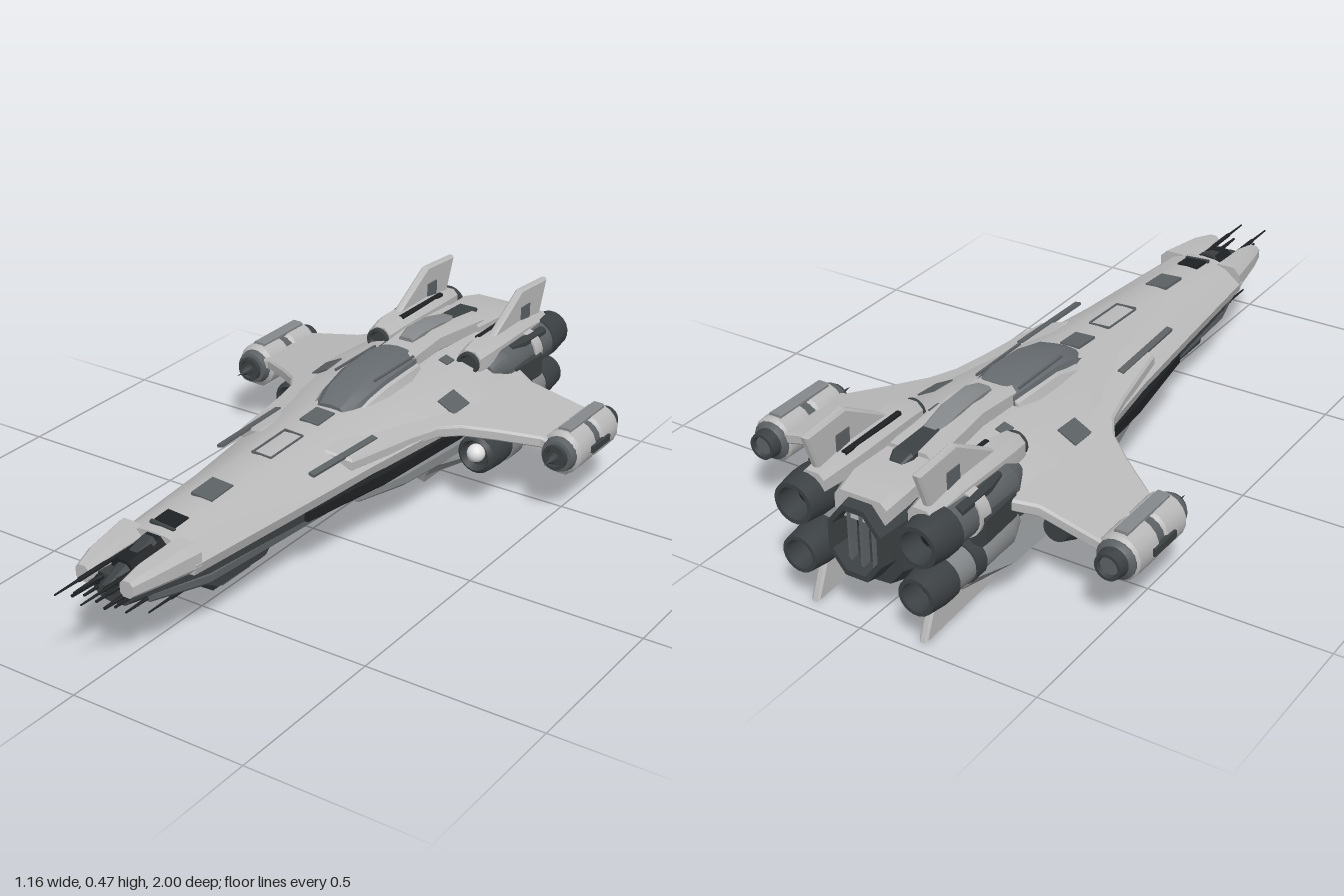
import * as THREE from 'three';
import { toCreasedNormals } from 'three/addons/utils/BufferGeometryUtils.js';

export function createModel() {
  const root = new THREE.Group();
  root.name = 'starfighter';
  const mat = (name, color) => Object.assign(new THREE.MeshStandardMaterial({ color }), { name });
  const light = mat('light grey hull', 0xb9b9b9), mid = mat('mid grey plating', 0x85888a);
  const panel = mat('slate panels', 0x5c6164), dark = mat('dark machinery', 0x3b4042);
  const black = mat('black recesses', 0x1e2123), glass = mat('canopy glass', 0x666b6f), white = mat('pale lamp', 0xe2e2e2);

  const add = (name, geo, material) => {
    const m = new THREE.Mesh(geo, material);
    m.name = name;
    root.add(m);
    return m;
  };
  // Mirrored copy across x = 0 with the winding restored
  const mirror = (geo) => {
    const g = geo.index ? geo.toNonIndexed() : geo.clone();
    g.scale(-1, 1, 1);
    for (const a of Object.values(g.attributes)) {
      const n = a.itemSize;
      for (let i = 0; i < a.count; i += 3)
        for (let k = 0; k < n; k++) {
          const p = (i + 1) * n + k, q = (i + 2) * n + k;
          [a.array[p], a.array[q]] = [a.array[q], a.array[p]];
        }
    }
    return g;
  };
  const pair = (name, geo, material) => {
    add(name + 'Left', geo, material);
    add(name + 'Right', mirror(geo), material);
  };
  const crease = (g, angle = 0.5) => toCreasedNormals(g, angle);

  // Loft through closed rings, front to back; rings run clockwise seen from the front
  const loft = (rings) => {
    const n = rings[0].length, pos = [], idx = [];
    rings.forEach((r) => r.forEach((p) => pos.push(...p)));
    for (let i = 0; i < rings.length - 1; i++)
      for (let j = 0; j < n; j++) {
        const a = i * n + j, b = i * n + (j + 1) % n;
        idx.push(a, b, b + n, a, b + n, a + n);
      }
    [0, rings.length - 1].forEach((i) => {
      const c = pos.length / 3, r = rings[i];
      pos.push(...[0, 1, 2].map((k) => r.reduce((s, p) => s + p[k], 0) / n));
      for (let j = 0; j < n; j++) {
        const a = i * n + j, b = i * n + (j + 1) % n;
        idx.push(c, ...(i ? [a, b] : [b, a]));
      }
    });
    const g = new THREE.BufferGeometry();
    g.setAttribute('position', new THREE.Float32BufferAttribute(pos, 3));
    g.setIndex(idx);
    return crease(g, 0.35);
  };
  const symmetric = (z, half) => [...half, ...half.slice(1, -1).reverse().map(([x, y]) => [-x, y])].map(([x, y]) => [x, y, z]);
  // Chamfered box loft from [z, centreX, centreY, halfWidth, halfHeight]
  const block = (...sections) => loft(sections.map(([z, x, y, w, h]) => {
    const c = Math.min(w, h) * 0.5;
    return [[-w + c, h], [w - c, h], [w, h - c], [w, c - h], [w - c, -h], [c - w, -h], [-w, c - h], [-w, h - c]]
      .map(([u, v]) => [x + u, y + v, z]);
  }));
  // Turned part along z from [radius, z], rear to front
  const turned = (x, y, pts, sides = 20, sx = 1, sy = 1) => {
    const g = new THREE.LatheGeometry(pts.map(([r, z]) => new THREE.Vector2(r, z)), sides);
    return crease(g.rotateX(Math.PI / 2).rotateZ(Math.PI / sides).scale(sx, sy, 1).translate(x, y, 0));
  };
  const box = (x, y, z, w, h, d) => new THREE.BoxGeometry(w, h, d).translate(x, y, z);
  const shape = (pts) => new THREE.Shape(pts.map(([x, y]) => new THREE.Vector2(x, y)));
  const extrude = (pts, depth) => new THREE.ExtrudeGeometry(shape(pts), {
    depth: depth - 0.012, bevelEnabled: true, bevelSize: 0.006, bevelThickness: 0.006, bevelOffset: -0.006, bevelSegments: 1 });

  // Upper shell: [z, top y, top half width, edge half width, edge y]
  const shell = add('upperShell', loft([
    [0.68, 0.297, 0.04, 0.13, 0.245], [0.3, 0.32, 0.045, 0.165, 0.245], [0, 0.33, 0.06, 0.2, 0.252],
    [-0.2, 0.34, 0.07, 0.235, 0.262], [-0.45, 0.348, 0.08, 0.27, 0.268], [-0.68, 0.348, 0.08, 0.25, 0.27],
    [-0.84, 0.34, 0.08, 0.13, 0.27],
  ].map(([z, ty, tw, ex, ey]) => symmetric(z, [[0, ty], [tw, ty - 0.003], [(tw + ex) / 2, (ty + ey) / 2 + 0.01],
    [ex, ey], [ex - 0.008, ey - 0.03], [0, ey - 0.035]]))), light);
  // Nose prongs either side of the gun bay
  pair('noseProng', block([0.87, 0.068, 0.25, 0.02, 0.022], [0.8, 0.074, 0.255, 0.034, 0.03], [0.66, 0.085, 0.254, 0.046, 0.04]), light);

  // Drooping wings
  const wingGeo = extrude([[0.1, 0.1], [0.18, 0.08], [0.22, -0.14], [0.245, -0.24], [0.285, -0.3], [0.36, -0.36], [0.46, -0.43],
    [0.51, -0.43], [0.51, -0.68], [0.3, -0.675], [0.23, -0.71], [0.1, -0.71]].reverse(), 0.034).rotateX(Math.PI / 2);
  const wp = wingGeo.attributes.position;
  for (let i = 0; i < wp.count; i++) wp.setY(i, wp.getY(i) + 0.326 - 0.215 * wp.getX(i));
  pair('wing', crease(wingGeo), light);

  // Lower hull: [z, half width, bottom y]
  add('lowerHull', loft([[0.84, 0.06, 0.18], [0.6, 0.115, 0.15], [0.2, 0.15, 0.135], [-0.1, 0.185, 0.115], [-0.5, 0.2, 0.09],
    [-0.8, 0.17, 0.1], [-0.95, 0.1, 0.12]].map(([z, w, b]) => symmetric(z, [[0, 0.25], [w, 0.25], [w, (0.22 + b) / 2],
    [w * 0.6, b], [0, b - 0.004]]))), dark);
  pair('flankVent', block([0.25, 0.15, 0.2, 0.015, 0.02], [-0.05, 0.185, 0.2, 0.025, 0.028], [-0.4, 0.215, 0.2, 0.02, 0.025]), black);
  pair('cheekArmor', block([0.02, 0.145, 0.15, 0.02, 0.012], [-0.15, 0.17, 0.15, 0.035, 0.025], [-0.42, 0.185, 0.14, 0.035, 0.03]), mid);
  pair('chinRail', block([0.78, 0.05, 0.185, 0.02, 0.015], [0.6, 0.08, 0.165, 0.03, 0.02], [0.1, 0.1, 0.14, 0.02, 0.015]), panel);
  pair('bellyStrip', block([0.1, 0.06, 0.125, 0.015, 0.01], [-0.3, 0.085, 0.105, 0.025, 0.015], [-0.75, 0.07, 0.09, 0.025, 0.015]), mid);
  // Swept belly armour flaring outward
  pair('bellyWinglet', loft([[-0.3, 0.6], [-0.45, 1], [-0.72, 1], [-0.82, 0.75]].map(([z, s]) =>
    [[0.1, 0.14], [0.19, 0.135], [0.1 + 0.16 * s, 0.12], [0.1 + 0.12 * s, 0.085], [0.17, 0.065], [0.1, 0.085]].map(([x, y]) => [x, y, z]))), mid);

  // Chin housings and belly turret
  pair('chinHousing', block([0.58, 0.04, 0.135, 0.02, 0.02], [0.53, 0.042, 0.115, 0.036, 0.035], [0.33, 0.045, 0.115, 0.036, 0.035],
    [0.28, 0.045, 0.13, 0.025, 0.02]), dark);
  pair('chinPlate', box(0.045, 0.0785, 0.43, 0.03, 0.008, 0.12), panel);
  add('bellyTurret', turned(0, 0.095, [[0, -0.28], [0.045, -0.27], [0.07, -0.23], [0.075, -0.14], [0.06, -0.07], [0, -0.04]], 20, 1.05, 0.9), dark);
  add('turretBand', turned(0, 0.095, [[0.07, -0.2], [0.079, -0.2], [0.079, -0.17], [0.07, -0.17]], 20, 1.05, 0.9), panel);

  // Gun bay with barrels
  add('gunBay', block([0.8, 0, 0.225, 0.035, 0.05], [0.66, 0, 0.25, 0.042, 0.045]), black);
  [[0.04, 0.262, 1, 0.004], [0.034, 0.24, 0.94, 0.006], [0.05, 0.222, 0.93, 0.007], [0.048, 0.205, 0.89, 0.006],
    [0.055, 0.178, 0.86, 0.005], [0.075, 0.155, 0.8, 0.004]].forEach(([x, y, z, r], i) => {
    pair('gunBarrel' + i, turned(x, y, [[r * 1.6, z - 0.3], [r * 1.6, z - 0.09], [r, z - 0.08], [r * 0.6, z], [0, z]], 8), black);
  });
  add('gunBreech', block([0.87, 0, 0.225, 0.014, 0.014], [0.78, 0, 0.235, 0.026, 0.04], [0.7, 0, 0.25, 0.026, 0.048]), dark);

  // Canopy with frame, then dorsal spine
  const canopy = (grow, drop) => loft([[-0.08, 0.06, 0.345], [-0.14, 0.074, 0.375], [-0.24, 0.083, 0.397], [-0.35, 0.085, 0.403],
    [-0.42, 0.072, 0.395]].map(([z, w, t]) => symmetric(z, [[0, t - drop], [w * 0.55, t - 0.004 - drop], [w * 0.85 + grow, t - 0.025 - drop],
    [w + grow, 0.325], [0, 0.32]])));
  add('canopyGlass', canopy(0, 0), glass);
  add('canopyFrame', canopy(0.012, 0.017), light);
  pair('canopyRail', box(0.064, 0.386, -0.3, 0.006, 0.006, 0.2), panel);
  add('dorsalSpine', block([-0.4, 0, 0.36, 0.06, 0.03], [-0.55, 0, 0.37, 0.06, 0.035], [-0.78, 0, 0.35, 0.07, 0.035]), light);
  add('spineIntake', block([-0.46, 0, 0.395, 0.022, 0.012], [-0.51, 0, 0.402, 0.03, 0.019], [-0.6, 0, 0.4, 0.03, 0.016], [-0.7, 0, 0.38, 0.024, 0.015]), mid);
  add('spineVent', block([-0.66, 0, 0.385, 0.025, 0.014], [-0.8, 0, 0.377, 0.03, 0.012], [-0.83, 0, 0.365, 0.02, 0.01]), dark);
  add('rearCowl', block([-0.74, 0, 0.34, 0.075, 0.035], [-0.9, 0, 0.335, 0.085, 0.035], [-0.97, 0, 0.32, 0.075, 0.035]), light);

  // Central exhaust: tall octagonal recess
  add('mainExhaust', turned(0, 0.24, [[0, -0.93], [0.07, -0.93], [0.08, -1], [0.094, -1], [0.105, -0.93], [0.105, -0.78], [0, -0.78]], 8, 0.88, 1.12), dark);
  add('exhaustCore', box(0, 0.24, -0.94, 0.1, 0.15, 0.015), black);
  [-1, 0, 1].forEach((i) => add('exhaustVane', box(i * 0.035, 0.24, -0.955, 0.008, 0.17, 0.04), panel));

  // Four engines with recessed nozzles
  [[0.178, 0.29, 0.058, 'upperEngine'], [0.17, 0.15, 0.052, 'lowerEngine']].forEach(([x, y, r, name]) => {
    pair(name + 'Nozzle', turned(x, y, [[0, -0.94], [r * 0.65, -0.94], [r * 0.75, -1], [r * 0.95, -1], [r * 1.1, -0.94], [r * 1.1, -0.9], [r * 0.9, -0.9]]), dark);
    pair(name + 'Glow', turned(x, y, [[0, -0.955], [r * 0.4, -0.95], [r * 0.4, -0.93]]), black);
    pair(name + 'Casing', turned(x, y, [[r * 0.8, -0.92], [r * 1.02, -0.92], [r * 1.02, -0.78], [r, -0.66], [r * 0.5, -0.6], [0, -0.6]]), name[0] === 'u' ? panel : mid);
    pair(name + 'Band', turned(x, y, [[r, -0.83], [r * 1.12, -0.83], [r * 1.12, -0.79], [r, -0.79]]), name[0] === 'u' ? light : dark);
  });
  pair('engineSide', block([-0.68, 0.215, 0.255, 0.025, 0.045], [-0.82, 0.222, 0.255, 0.026, 0.045]), dark);
  pair('sidePod', block([-0.7, 0.205, 0.338, 0.008, 0.008], [-0.76, 0.21, 0.335, 0.014, 0.014], [-0.88, 0.21, 0.33, 0.014, 0.014]), dark);

  // Upper nacelles with intakes
  pair('nacelle', block([-0.56, 0.152, 0.33, 0.036, 0.036], [-0.62, 0.153, 0.335, 0.044, 0.042], [-0.82, 0.15, 0.338, 0.046, 0.04], [-0.95, 0.155, 0.33, 0.034, 0.03]), light);
  pair('nacelleIntake', turned(0.152, 0.33, [[0.034, -0.57], [0.034, -0.545], [0.026, -0.545], [0.02, -0.555], [0, -0.555]]), dark);
  pair('nacelleSlot', block([-0.64, 0.13, 0.374, 0.008, 0.006], [-0.86, 0.128, 0.374, 0.008, 0.006]), black);

  // Upper and lower fins, outlines in z and y
  const fin = (pts) => crease(extrude(pts, 0.024).rotateY(-Math.PI / 2).translate(0.166, 0, 0));
  pair('upperFin', fin([[-0.64, 0.36], [-0.7, 0.4], [-0.82, 0.47], [-0.97, 0.46], [-0.925, 0.34]]), light);
  pair('lowerFin', fin([[-0.62, 0.09], [-0.63, 0.045], [-0.71, 0.012], [-0.97, 0], [-0.92, 0.12]]), light);
  pair('finPatch', box(0.16, 0.392, -0.84, 0.03, 0.05, 0.05), panel);

  // Wingtip pods
  const px = 0.515, py = 0.195;
  pair('tipPodCore', turned(px, py, [[0, -0.71], [0.03, -0.71], [0.04, -0.69], [0.054, -0.68], [0.054, -0.45], [0.046, -0.42], [0.02, -0.415], [0, -0.415]]), panel);
  [[-0.68, -0.57], [-0.55, -0.44]].forEach(([a, b]) =>
    pair('tipPodShell', turned(px, py, [[0.05, a], [0.06, a + 0.012], [0.061, b - 0.012], [0.05, b]], 16, 1, 1.05), light));
  pair('tipPodSpine', block([-0.46, px, py + 0.062, 0.018, 0.008], [-0.66, px, py + 0.062, 0.018, 0.008]), mid);
  pair('tipPodKeel', block([-0.46, px, py - 0.062, 0.018, 0.008], [-0.66, px, py - 0.062, 0.018, 0.008]), mid);
  pair('tipPodNozzle', turned(px, py, [[0, -0.7], [0.022, -0.7], [0.028, -0.72], [0.036, -0.72], [0.042, -0.68]]), dark);
  pair('tipPodRing', turned(px, py, [[0.036, -0.42], [0.036, -0.405], [0.026, -0.405], [0.024, -0.412], [0, -0.412]]), dark);
  pair('tipPodNeedle', turned(px, py, [[0.014, -0.42], [0.012, -0.39], [0.004, -0.375], [0, -0.35]], 10), dark);
  pair('tipPodFin', box(0.576, py, -0.56, 0.012, 0.02, 0.1), dark);

  // Pods slung under the wings
  pair('slungPod', turned(0.31, 0.175, [[0, -0.62], [0.035, -0.62], [0.055, -0.57], [0.06, -0.4], [0.056, -0.34], [0.045, -0.33], [0.035, -0.35], [0, -0.35]]), dark);
  pair('slungPodBand', turned(0.31, 0.175, [[0.055, -0.5], [0.063, -0.5], [0.063, -0.44], [0.055, -0.44]]), mid);
  pair('slungPodLamp', new THREE.SphereGeometry(0.026, 16, 12).translate(0.31, 0.18, -0.34), white);
  pair('pylon', box(0.31, 0.235, -0.48, 0.025, 0.04, 0.18), dark);

  // Thin panels laid on the upper skin
  root.updateMatrixWorld(true);
  const skin = [shell, root.getObjectByName('wingLeft')], up = new THREE.Vector3(0, 1, 0);
  const plate = (name, x, z, w, d, material, turn = 0) => {
    const hit = new THREE.Raycaster(new THREE.Vector3(x + 1e-4, 2, z + 1e-4), up.clone().negate()).intersectObjects(skin)[0];
    const g = new THREE.BoxGeometry(w, 0.008, d).rotateY(turn);
    g.applyQuaternion(new THREE.Quaternion().setFromUnitVectors(up, hit.face.normal)).translate(x, hit.point.y, z);
    x ? pair(name, g, material) : add(name, g, material);
  };
  plate('deckPanel', 0, -0.02, 0.06, 0.08, panel);
  plate('deckPanel', 0, 0.445, 0.066, 0.09, panel);
  plate('deckVent', 0, 0.61, 0.064, 0.055, black);
  plate('ventBar', 0, 0.645, 0.075, 0.01, dark);
  [0.09, 0.235].forEach((z) => plate('hatchSeam', 0, z, 0.06, 0.004, panel));
  plate('hatchSide', 0.03, 0.163, 0.004, 0.145, panel);
  plate('wingPanel', 0.212, -0.375, 0.06, 0.08, panel);
  plate('sideSlot', 0.152, 0.08, 0.018, 0.28, panel, -0.04);
  plate('shoulderVent', 0.1, -0.52, 0.03, 0.04, panel);
  return root;
}
